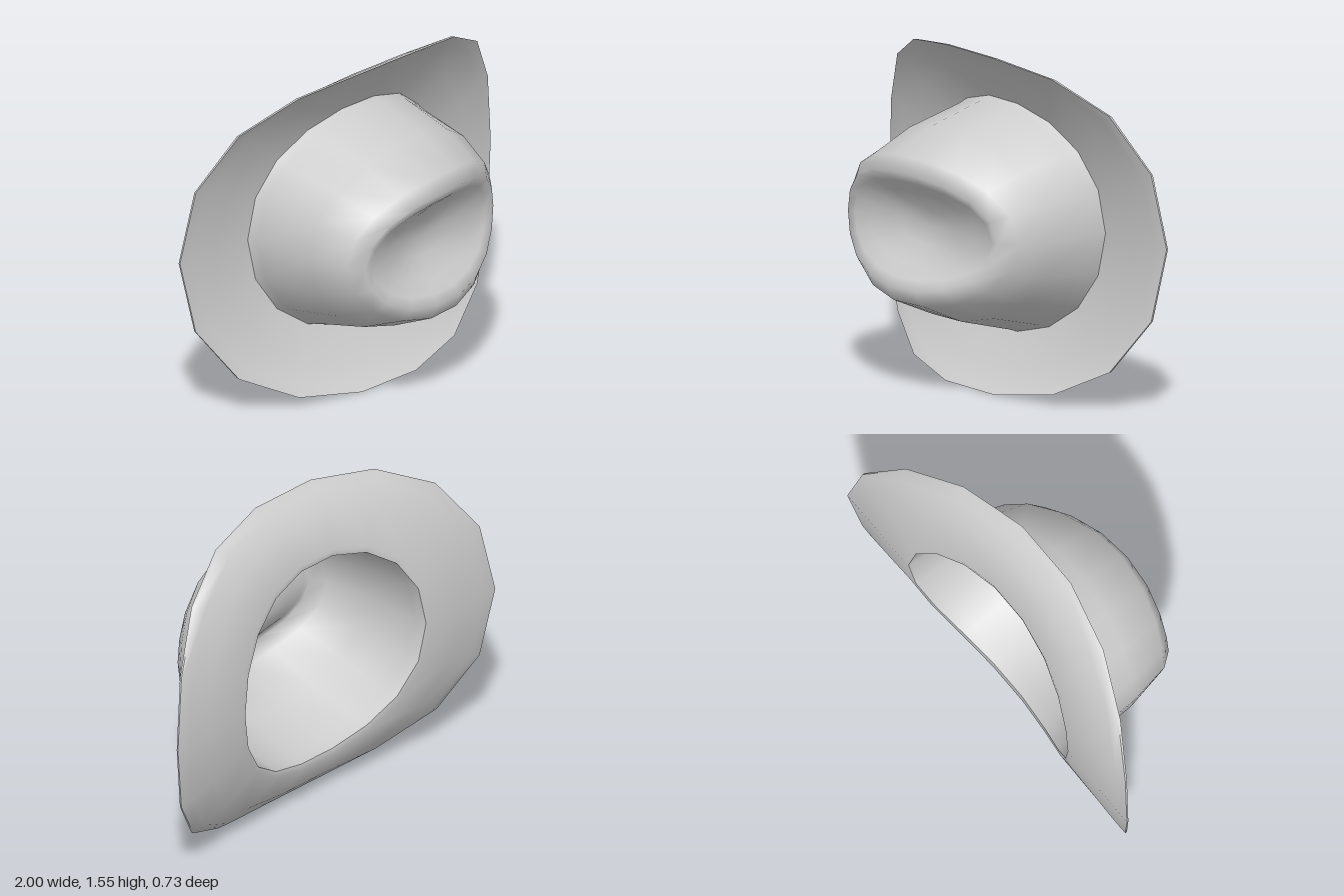
import * as THREE from 'three';
import { toCreasedNormals } from 'three/addons/utils/BufferGeometryUtils.js';

const SIDES = 18;
const CENTRE_Y = 0.78;

// One oval ring: half width, half height, depth, tilt along x, bow along x, squareness, x shift
function ringPoint([rx, ry, z, tilt = 0, bow = 0, square = 0, shift = 0], j) {
  const a = (j / SIDES) * Math.PI * 2;
  const u = Math.cos(a), s = Math.sin(a);
  return [rx * u + shift, CENTRE_Y + ry * s * (1 + square * (1 - s * s)), z + tilt * u + bow * u * u];
}

// Skin a list of rings; a ring of zero width closes to a point
function skin(name, rings) {
  const pos = [], index = [];
  rings.forEach((ring) => {
    for (let j = 0; j < SIDES; j++) pos.push(...ringPoint(ring[0] ? ring : [0, 0, ring[2]], j));
  });
  for (let i = 0; i < rings.length - 1; i++) {
    for (let j = 0; j < SIDES; j++) {
      const k = (j + 1) % SIDES;
      const a = i * SIDES + j, d = i * SIDES + k;
      const b = a + SIDES, c = d + SIDES;
      if (rings[i + 1][0]) index.push(a, b, c);
      else index.push(a, b, d);
      if (rings[i][0] && rings[i + 1][0]) index.push(a, c, d);
    }
  }
  const geo = new THREE.BufferGeometry();
  geo.setAttribute('position', new THREE.Float32BufferAttribute(pos, 3));
  geo.setIndex(index);
  const mesh = new THREE.Mesh(
    toCreasedNormals(geo, Math.PI / 2.6),
    new THREE.MeshStandardMaterial({ color: 0xcccccc, side: THREE.DoubleSide })
  );
  mesh.name = name;
  return mesh;
}

export function createModel() {
  const hat = new THREE.Group();
  hat.name = 'hat';

  // Crown: pinched hollow, raised ridge, shoulder, flaring wall
  const crown = [
    [0, 0, 0.2],
    [0.17, 0.08, 0.215, -0.02, 0, 0.05, -0.01],
    [0.34, 0.17, 0.275, -0.045, -0.04, 0.08, -0.01],
    [0.425, 0.225, 0.335, -0.055, -0.1, 0.1, -0.01],
    [0.47, 0.27, 0.365, -0.055, -0.125, 0.1, -0.01],
    [0.525, 0.34, 0.33, -0.06, -0.16, 0.1, -0.005],
    [0.567, 0.44, 0.11, -0.03, -0.11, 0.1],
    [0.578, 0.515, -0.16, 0, -0.12, 0.1],
    [0.59, 0.532, -0.21, 0, -0.12, 0.1],
  ];
  hat.add(skin('crown', crown));

  // Brim: front face, thin edge, then the back face
  hat.add(skin('brim', [
    [0.585, 0.53, -0.21, 0, -0.12, 0.1],
    [0.8, 0.685, -0.115, 0, -0.225, 0.18],
    [0.93, 0.752, -0.045, 0, -0.3, 0.26],
    [1, 0.78, -0.01, 0, -0.345, 0.303],
    [1, 0.777, -0.03, 0, -0.333, 0.303],
    [0.93, 0.757, -0.075, 0, -0.288, 0.26],
    [0.8, 0.695, -0.14, 0, -0.222, 0.18],
    [0.6, 0.54, -0.24, 0, -0.122, 0.1],
    [0.57, 0.51, -0.235, 0, -0.122, 0.1],
  ]));

  // Lining: the crown wall repeated slightly inside, from the opening to the hollow
  const lining = crown.slice(0, 8).reverse().map(([rx, ry, z, ...rest]) =>
    rx ? [rx - 0.015, ry - 0.015, z - 0.015, ...rest] : [0, 0, z - 0.015]);
  hat.add(skin('lining', [[0.57, 0.51, -0.235, 0, -0.122, 0.1], ...lining]));

  return hat;
}
